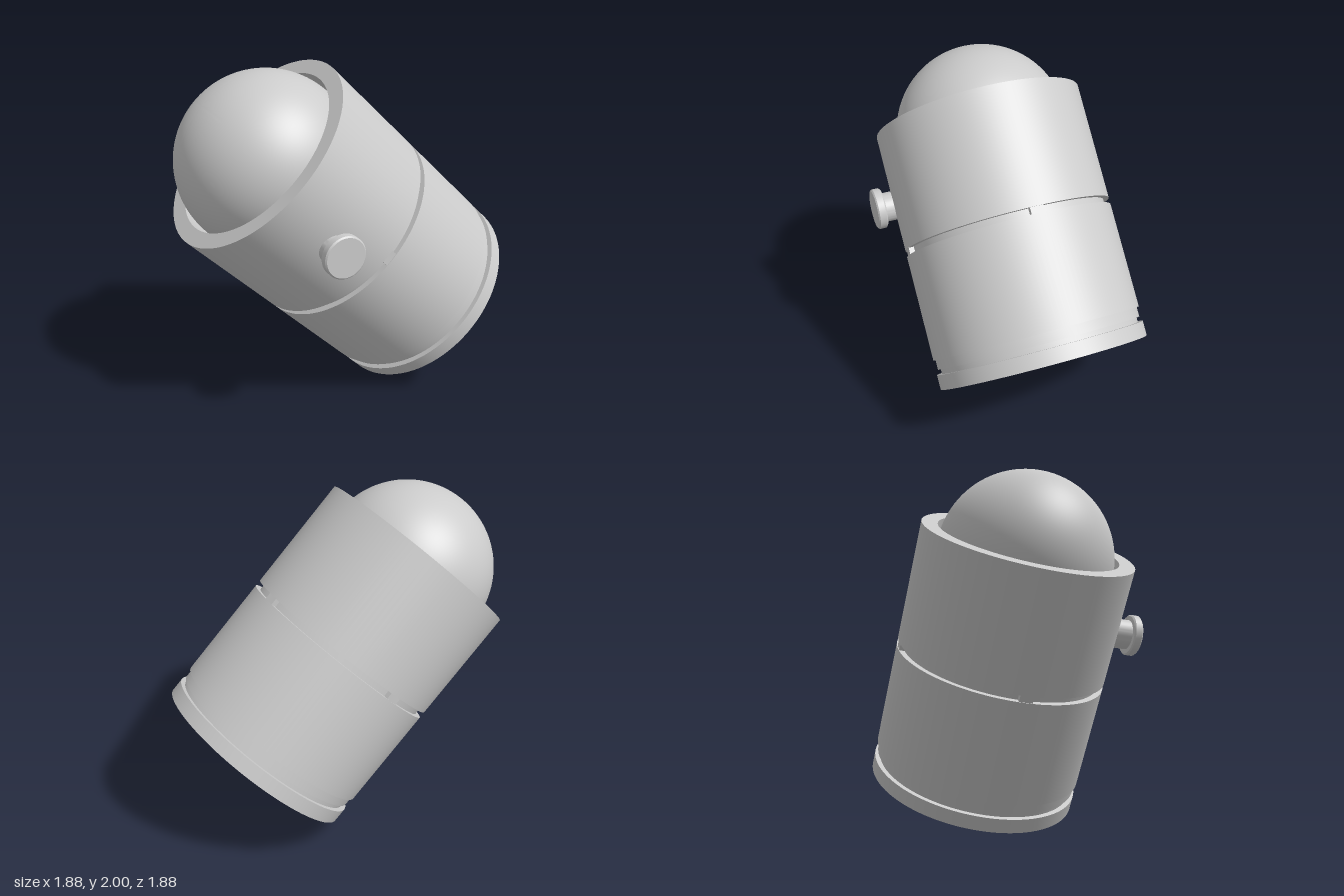
import * as THREE from 'three';
import { toCreasedNormals } from 'three/addons/utils/BufferGeometryUtils.js';

const material = new THREE.MeshStandardMaterial({ color: 0xcccccc });

function add(parent, name, geometry) {
  const mesh = new THREE.Mesh(geometry, material);
  mesh.name = name;
  parent.add(mesh);
  return mesh;
}

// Revolve a [radius, height] profile, keeping its corners sharp
function revolve(profile, segments = 128) {
  const points = profile.map(([r, y]) => new THREE.Vector2(r, y));
  return toCreasedNormals(new THREE.LatheGeometry(points, segments), 0.5);
}

export function createModel() {
  const model = new THREE.Group();
  model.name = 'domedCanister';

  // Everything is built upright around y, then tilted
  const body = new THREE.Group();
  body.name = 'tiltedBody';
  model.add(body);

  // Hollow shell: flared foot, grooves, rim and an inner ledge for the dome
  add(body, 'shell', revolve([
    [0.635, -0.78], [0.635, -0.692], [0.605, -0.692], [0.605, -0.662],
    [0.622, -0.662], [0.622, -0.604], [0.635, -0.604], [0.635, 0.03],
    [0.6, 0.03], [0.6, 0.07], [0.635, 0.07], [0.635, 0.78],
    [0.54, 0.78], [0.54, 0.56], [0.505, 0.56], [0.505, 0.54],
    [0.555, 0.54], [0.555, -0.67], [0.575, -0.67], [0.575, -0.692], [0.635, -0.78],
  ]));

  // Thin dome, a hemisphere on a short straight collar
  const domeY = 0.676;
  const arc = (r, steps = 32) => Array.from({ length: steps + 1 }, (_, i) => {
    const a = (i / steps) * Math.PI / 2;
    return [i === steps ? 0 : r * Math.cos(a), domeY + r * Math.sin(a)];
  });
  add(body, 'dome', revolve([
    ...arc(0.505).reverse(), [0.505, 0.55], [0.522, 0.55], ...arc(0.522),
  ]));

  // Four small tabs bridging the middle groove
  for (let i = 0; i < 4; i++) {
    const a = i * Math.PI / 2;
    const tab = add(body, 'grooveTab', new THREE.BoxGeometry(0.05, 0.044, 0.08));
    tab.position.set(0.605 * Math.cos(a), 0.05, -0.605 * Math.sin(a));
    tab.rotation.y = a;
  }

  // Side knob: stem through the wall with a wider cap
  const knob = add(body, 'knob', revolve([
    [0, 0.52], [0.088, 0.52], [0.088, 0.685], [0.114, 0.685],
    [0.122, 0.693], [0.122, 0.732], [0.114, 0.74], [0, 0.74],
  ], 64));
  knob.rotation.z = -Math.PI / 2;
  knob.position.set(0, 0.364, 0.152);

  // Tilt 45 degrees, leaning towards the front right
  const h = Math.SQRT1_2;
  const side = new THREE.Vector3(h, 0, h);
  const axis = new THREE.Vector3(-0.5, h, 0.5);
  const under = new THREE.Vector3().crossVectors(side, axis);
  body.quaternion.setFromRotationMatrix(new THREE.Matrix4().makeBasis(side, axis, under));
  body.position.y = 1;

  return model;
}
